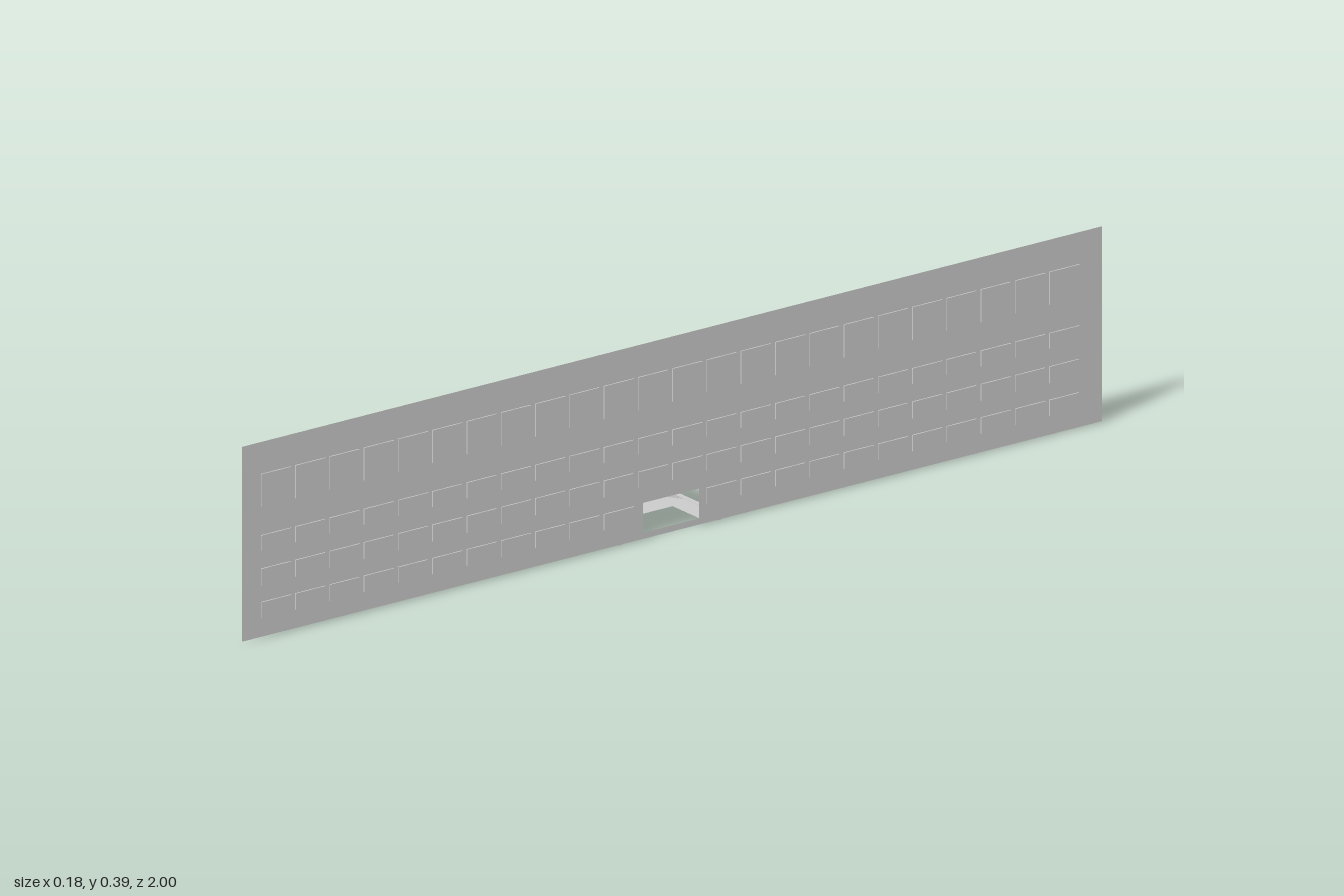
import * as THREE from 'three';

const WALL_X = 0.087;
const DOOR = { z0: -0.063, z1: 0.067, y0: 0.015, y1: 0.075 };

const solid = new THREE.MeshStandardMaterial({ color: 0xcccccc, flatShading: true });
const sheet = new THREE.MeshStandardMaterial({ color: 0xcccccc, flatShading: true, side: THREE.DoubleSide });

function add(group, name, geometry, material = solid) {
  const mesh = new THREE.Mesh(geometry, material);
  mesh.name = name;
  group.add(mesh);
  return mesh;
}

function box(group, name, x0, x1, y0, y1, z0, z1) {
  const mesh = add(group, name, new THREE.BoxGeometry(x1 - x0, y1 - y0, z1 - z0));
  mesh.position.set((x0 + x1) / 2, (y0 + y1) / 2, (z0 + z1) / 2);
  return mesh;
}

// Four-cornered face, corners counter-clockwise from its front
function quad(group, name, corners, material) {
  const geometry = new THREE.BufferGeometry();
  geometry.setAttribute('position', new THREE.Float32BufferAttribute(corners.flat(), 3));
  geometry.setIndex([0, 1, 2, 0, 2, 3]);
  geometry.computeVertexNormals();
  return add(group, name, geometry, material);
}

// Sheet spanning z0..z1 between two points of the side profile
function strip(group, name, [xa, ya], [xb, yb], z0, z1) {
  quad(group, name, [[xa, ya, z0], [xa, ya, z1], [xb, yb, z1], [xb, yb, z0]], sheet);
}

// Thin facade with a doorway
function buildFacade() {
  const shape = new THREE.Shape();
  shape.moveTo(-1, 0.003).lineTo(1, 0.003).lineTo(1, 0.388).lineTo(-1, 0.388).closePath();
  const door = new THREE.Path();
  door.moveTo(-DOOR.z1, DOOR.y0).lineTo(-DOOR.z1, DOOR.y1);
  door.lineTo(-DOOR.z0, DOOR.y1).lineTo(-DOOR.z0, DOOR.y0).closePath();
  shape.holes.push(door);
  const geometry = new THREE.ShapeGeometry(shape);
  geometry.rotateY(Math.PI / 2).translate(WALL_X, 0, 0);
  return geometry;
}

// Four rows of window panels, interrupted by the entrance
function buildWindows() {
  const group = new THREE.Group();
  group.name = 'windows';
  const rows = [[0.04, 0.072], [0.105, 0.138], [0.173, 0.204], [0.26, 0.325]];
  const count = 24, pitch = 0.0797, width = 0.069;
  rows.forEach(([y0, y1], row) => {
    for (let i = 0; i < count; i++) {
      const z = 0.005 + (i - (count - 1) / 2) * pitch;
      if (row === 0 && Math.abs(z - 0.005) < pitch) continue;
      box(group, 'window', 0.085, 0.0895, y0, y1, z - width / 2, z + width / 2);
    }
  });
  return group;
}

// Porch with outward faces only, leaning forward at the front
function buildPorch() {
  const group = new THREE.Group();
  group.name = 'porch';
  const { z0, z1, y0, y1 } = DOOR;
  const profile = [[WALL_X, y0], [0.005, y0], [0, 0.078], [WALL_X, y1]];
  const left = profile.map(([x, y]) => [x, y, z1]);
  const right = profile.map(([x, y]) => [x, y, z0]);
  quad(group, 'porchLeftWall', [left[0], left[3], left[2], left[1]]);
  quad(group, 'porchRightWall', right);
  quad(group, 'porchFront', [right[1], left[1], left[2], right[2]]);
  quad(group, 'porchTop', [right[2], left[2], left[3], right[3]]);
  return group;
}

// Landing and steps between two low side walls
function buildSteps() {
  const group = new THREE.Group();
  group.name = 'entranceSteps';
  const z0 = -0.115, z1 = 0.126, curb = 0.011;
  const inner0 = z0 + curb, inner1 = z1 - curb;
  const top = 0.0155, edge = -0.016, end = -0.076, count = 5;
  box(group, 'rightCurb', -0.077, WALL_X, 0.002, 0.016, z0, inner0);
  box(group, 'leftCurb', -0.077, WALL_X, 0.002, 0.016, inner1, z1);

  // Landing around the porch
  strip(group, 'landing', [edge, top], [0.005, top], inner0, inner1);
  strip(group, 'landingRight', [0.005, top], [WALL_X, top], inner0, DOOR.z0);
  strip(group, 'landingLeft', [0.005, top], [WALL_X, top], DOOR.z1, inner1);

  const run = (edge - end) / count, rise = top / (count + 1);
  for (let i = 0; i <= count; i++) {
    const x = edge - i * run, y = top - i * rise;
    strip(group, 'riser', [x, y - rise], [x, y], inner0, inner1);
    if (i < count) strip(group, 'tread', [x - run, y - rise], [x, y - rise], inner0, inner1);
  }
  return group;
}

// Thin roof slab rising away from the facade
function buildCanopy() {
  const shape = new THREE.Shape();
  shape.moveTo(-0.092, 0.081).lineTo(WALL_X, 0.074);
  shape.lineTo(WALL_X, 0.0765).lineTo(-0.092, 0.0845).closePath();
  const geometry = new THREE.ExtrudeGeometry(shape, { depth: 0.25, bevelEnabled: false });
  return geometry.translate(0, 0, -0.12);
}

export function createModel() {
  const model = new THREE.Group();
  model.name = 'buildingFacade';
  add(model, 'facade', buildFacade(), sheet);
  model.add(buildWindows(), buildPorch(), buildSteps());
  add(model, 'canopy', buildCanopy());
  return model;
}
